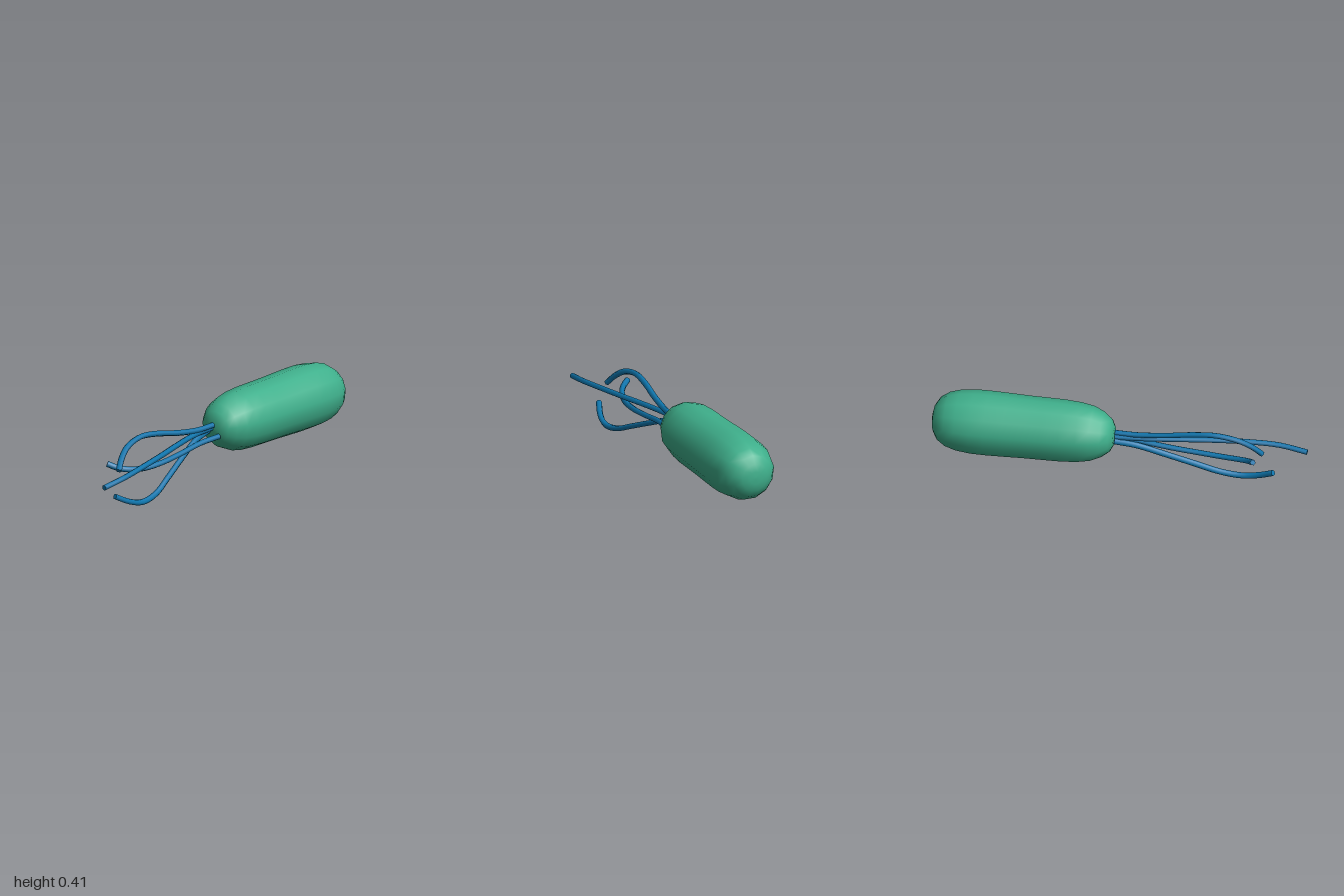
import * as THREE from 'three';

const AXIS_Y = 0.246;

// Rod-shaped cell body: 13-sided lathe laid along z
function makeBody(material) {
  const profile = [
    [0, 0.022], [0.05, 0.024], [0.09, 0.045], [0.122, 0.085], [0.147, 0.14], [0.16, 0.21],
    [0.166, 0.3], [0.167, 0.4], [0.168, 0.5], [0.171, 0.6], [0.173, 0.7], [0.172, 0.78],
    [0.163, 0.86], [0.145, 0.92], [0.115, 0.965], [0.075, 0.99], [0.035, 0.999], [0, 1],
  ].map(([r, d]) => new THREE.Vector2(r, d));
  const geometry = new THREE.LatheGeometry(profile, 13);
  geometry.rotateX(-Math.PI / 2);
  const body = new THREE.Mesh(geometry, material);
  body.position.y = AXIS_Y;
  body.name = 'cellBody';
  return body;
}

// Six-sided whip-like tail with a flat cap at each end
function makeTail(points, material, name) {
  const radius = 0.016, sides = 6, steps = 28;
  const curve = new THREE.CatmullRomCurve3(points.map((p) => new THREE.Vector3(...p)));
  const tube = new THREE.TubeGeometry(curve, steps, radius, sides);
  const tail = new THREE.Group();
  tail.name = name;
  const strand = new THREE.Mesh(tube, material);
  strand.name = 'strand';
  tail.add(strand);

  for (const [t, ring, sign] of [[0, 0, -1], [1, steps, 1]]) {
    const centre = curve.getPointAt(t);
    const normal = curve.getTangentAt(t).multiplyScalar(sign);
    const rim = new THREE.Vector3().fromBufferAttribute(tube.attributes.position, ring * (sides + 1));
    const u = rim.sub(centre).normalize();
    const v = new THREE.Vector3().crossVectors(normal, u);
    const cap = new THREE.Mesh(new THREE.CircleGeometry(radius, sides), material);
    cap.geometry.applyMatrix4(new THREE.Matrix4().makeBasis(u, v, normal).setPosition(centre));
    cap.name = 'tailCap';
    tail.add(cap);
  }
  return tail;
}

export function createModel() {
  const model = new THREE.Group();
  model.name = 'bacterium';
  const green = new THREE.MeshStandardMaterial({ color: 0x3fb08c });
  const blue = new THREE.MeshStandardMaterial({ color: 0x0f78b0 });
  model.add(makeBody(green));

  // Tail centre lines, from the body outwards
  const tails = {
    longTail: [[-0.01, 0.246, -0.02], [0, 0.246, 0.12], [0.035, 0.24, 0.3], [0.075, 0.232, 0.48],
      [0.11, 0.222, 0.67], [0.13, 0.208, 0.84], [0.121, 0.187, 0.99]],
    lowerTail: [[-0.028, 0.23, -0.02], [-0.012, 0.208, 0.1], [0.02, 0.15, 0.25], [0.055, 0.088, 0.4],
      [0.083, 0.036, 0.53], [0.092, 0.02, 0.65], [0.078, 0.042, 0.74], [0.048, 0.083, 0.82]],
    upperTail: [[0.002, 0.265, -0.02], [0, 0.266, 0.1], [-0.009, 0.285, 0.25], [-0.022, 0.315, 0.4],
      [-0.027, 0.327, 0.53], [-0.015, 0.3, 0.65], [0.006, 0.255, 0.72], [0.028, 0.207, 0.765]],
    sideTail: [[0.045, 0.212, -0.02], [0.035, 0.205, 0.12], [0.035, 0.185, 0.28], [0.034, 0.172, 0.43],
      [0.02, 0.17, 0.56], [-0.01, 0.183, 0.66], [-0.045, 0.2, 0.71], [-0.08, 0.217, 0.735]],
  };
  for (const [name, points] of Object.entries(tails)) model.add(makeTail(points, blue, name));
  return model;
}
